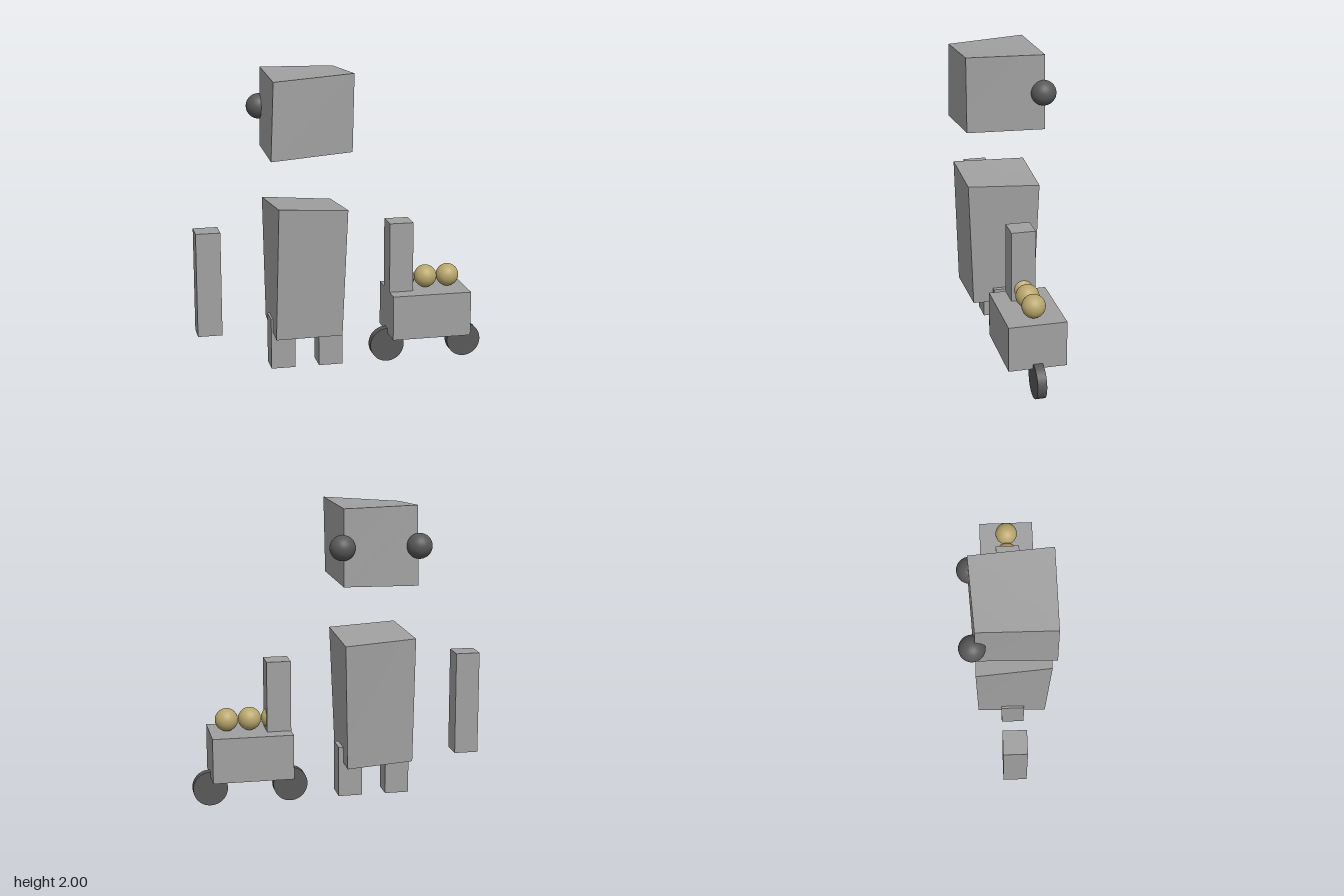
import * as THREE from 'three';

const grey = new THREE.MeshStandardMaterial({ name: 'light grey', color: 0xa0a0a0 });
const dark = new THREE.MeshStandardMaterial({ name: 'dark grey', color: 0x585858 });
const gold = new THREE.MeshStandardMaterial({ name: 'dull gold', color: 0xb8a66c });

export function createModel() {
  const model = new THREE.Group();

  const add = (name, geometry, material, x = 0, y = 0, z = 0) => {
    const mesh = new THREE.Mesh(geometry, material);
    mesh.name = name;
    mesh.position.set(x, y, z);
    model.add(mesh);
    return mesh;
  };

  // Box given by its minimum and maximum corners
  const block = (name, [x0, y0, z0], [x1, y1, z1]) =>
    add(name, new THREE.BoxGeometry(x1 - x0, y1 - y0, z1 - z0), grey,
      (x0 + x1) / 2, (y0 + y1) / 2, (z0 + z1) / 2);

  // Box with eight free corners, indexed by (x high) + 2 (y high) + 4 (z high)
  const skewedBlock = (name, corners) => {
    const geometry = new THREE.BoxGeometry(1, 1, 1);
    const p = geometry.attributes.position;
    for (let i = 0; i < p.count; i++) {
      const k = (p.getX(i) > 0 ? 1 : 0) + (p.getY(i) > 0 ? 2 : 0) + (p.getZ(i) > 0 ? 4 : 0);
      p.setXYZ(i, ...corners[k]);
    }
    geometry.computeVertexNormals();
    return add(name, geometry, grey);
  };

  // Crooked head and torso
  skewedBlock('head', [
    [-0.495, 1.47, -0.21], [0.0, 1.48, -0.235], [-0.49, 1.99, -0.2], [0.0, 1.98, -0.23],
    [-0.505, 1.46, 0.305], [0.02, 1.5, 0.29], [-0.485, 1.96, 0.3], [0.03, 2.0, 0.295],
  ]);
  skewedBlock('torso', [
    [-0.47, 0.29, -0.205], [-0.04, 0.25, -0.175], [-0.485, 1.12, -0.21], [-0.02, 1.085, -0.205],
    [-0.475, 0.27, 0.255], [-0.035, 0.27, 0.245], [-0.455, 1.145, 0.285], [-0.005, 1.12, 0.28],
  ]);

  // Ears at the rear of the head
  for (const [name, x] of [['rightEar', -0.498], ['leftEar', 0.006]])
    add(name, new THREE.SphereGeometry(0.083, 32, 20), dark, x, 1.73, -0.22);

  // Legs and detached arms
  for (const [name, x] of [['rightLeg', -0.485], ['leftLeg', -0.165]])
    block(name, [x, 0.025, -0.045], [x + 0.16, 0.365, 0.11]);
  for (const [name, x] of [['rightArm', -0.967], ['leftArm', 0.315]])
    block(name, [x, 0.28, -0.05], [x + 0.16, 0.97, 0.108]);

  // Cart with two wheels and a row of balls
  block('cart', [0.315, 0.2, -0.158], [0.848, 0.5, 0.218]);
  for (const [name, x] of [['rightWheel', 0.314], ['leftWheel', 0.85]]) {
    const wheel = new THREE.CylinderGeometry(0.115, 0.115, 0.06, 40).rotateX(Math.PI / 2);
    add(name, wheel, dark, x, 0.117, 0.03);
  }
  for (let i = 0; i < 3; i++)
    add('ball' + (i + 1), new THREE.SphereGeometry(0.076, 32, 20), gold, 0.428 + i * 0.153, 0.577, 0.03);

  return model;
}
